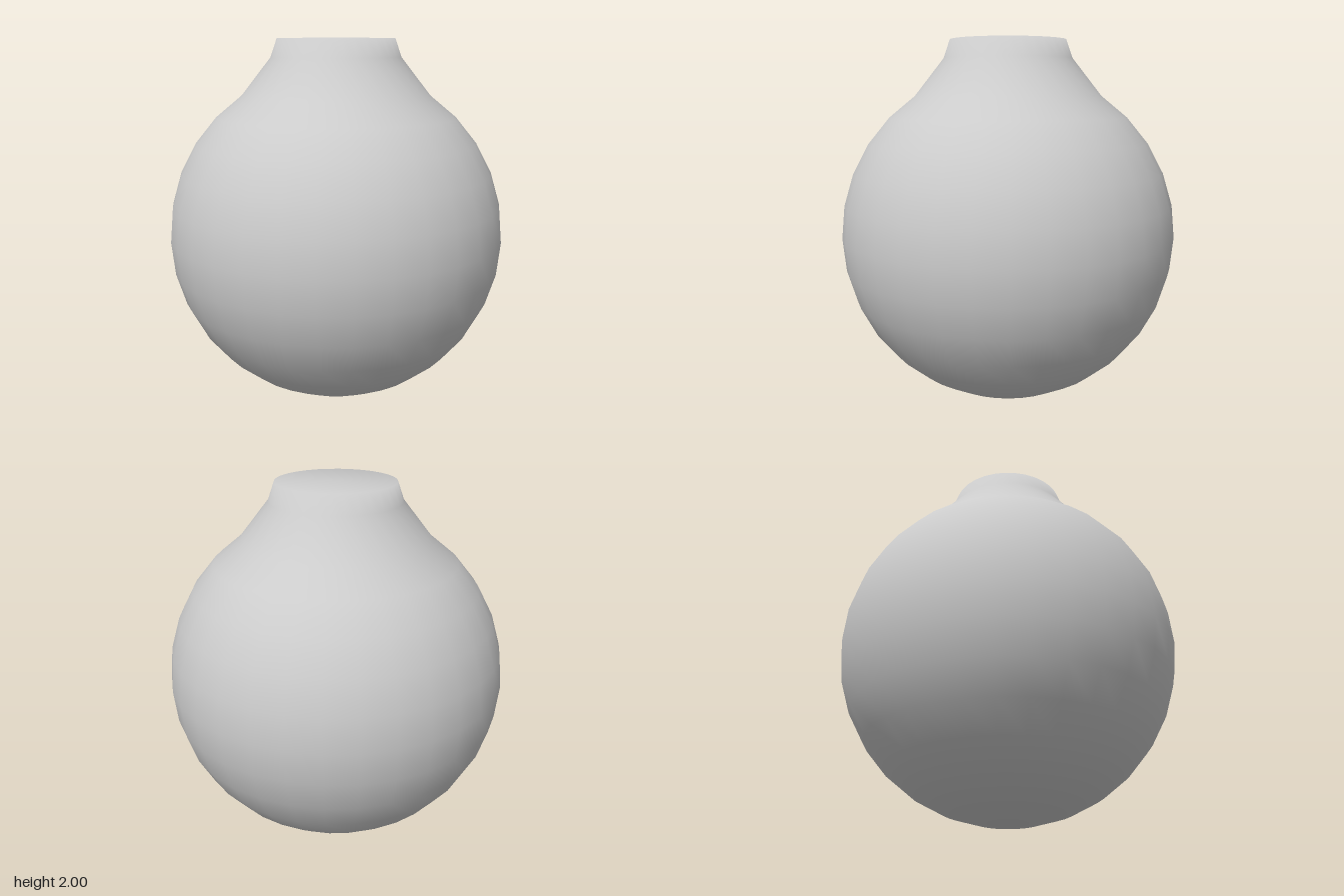
import * as THREE from 'three';

const RADIUS = 0.927; // ball radius; the ball stands on y = 0
const RINGS = 16;     // latitude bands of the full ball
const SIDES = 32;

export function createModel() {
  const group = new THREE.Group();
  group.name = 'bulb';

  // Ball profile from the bottom pole up to the shoulder, where the neck starts
  const profile = [];
  for (let i = 0; i <= RINGS - 3; i++) {
    const a = (i / RINGS) * Math.PI;
    profile.push(new THREE.Vector2(RADIUS * Math.sin(a), RADIUS * (1 - Math.cos(a))));
  }

  // Raised neck, narrowing to a flat closed top with a softly shaded rim
  profile.push(
    new THREE.Vector2(0.355, 1.9),
    new THREE.Vector2(0.32, 2),
    new THREE.Vector2(0, 2),
  );

  const body = new THREE.Mesh(
    new THREE.LatheGeometry(profile, SIDES),
    new THREE.MeshStandardMaterial({ color: 0xcccccc }),
  );
  body.name = 'ballWithNeck';
  group.add(body);
  return group;
}
